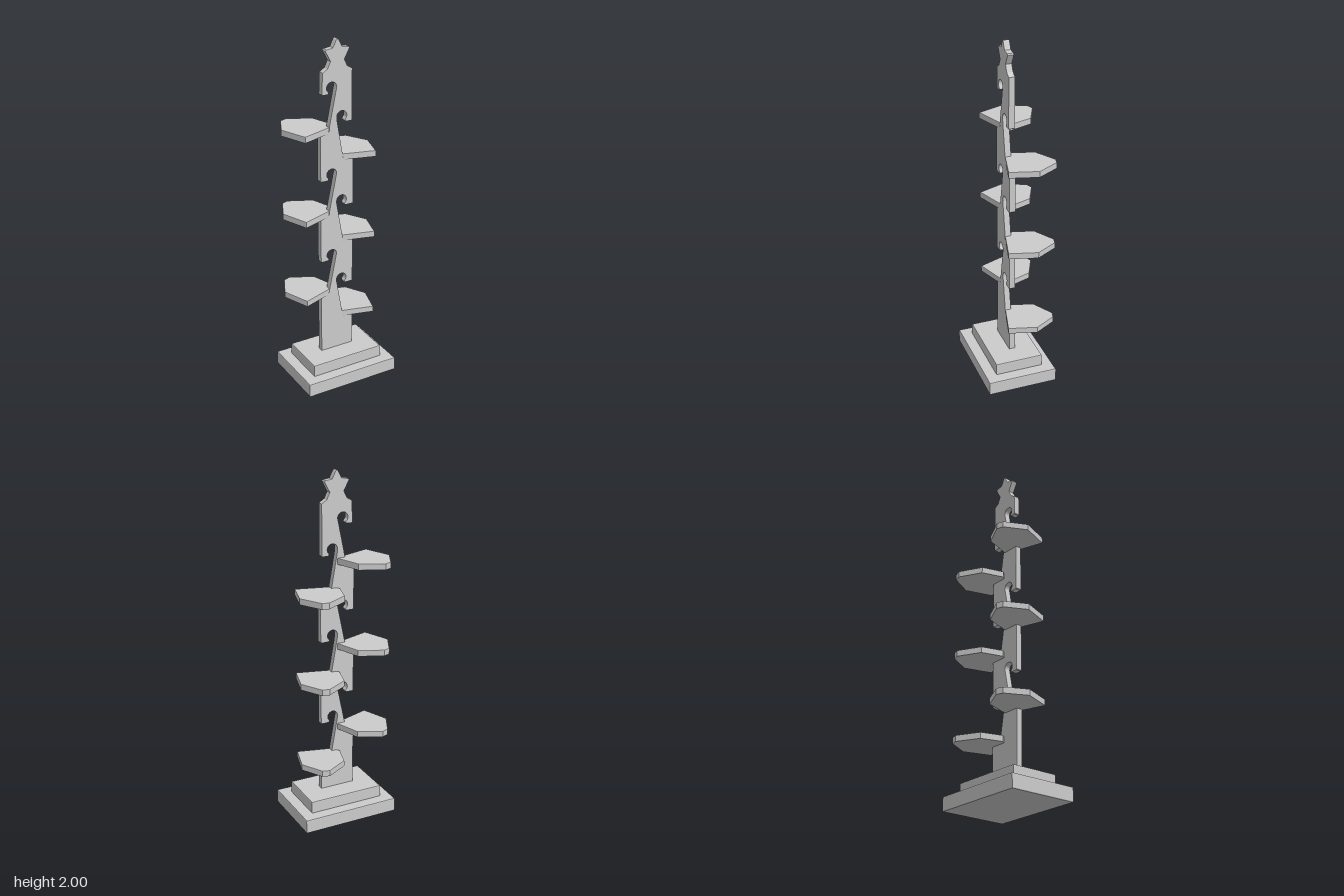
import * as THREE from 'three';

const material = new THREE.MeshStandardMaterial({ color: 0xcccccc });

// Extrude a shape between two depths, with a fine bevel kept inside the outline
function plate(shape, from, to, bevel) {
  const g = new THREE.ExtrudeGeometry(shape, {
    depth: to - from - 2 * bevel, bevelEnabled: true, bevelSize: bevel,
    bevelThickness: bevel, bevelOffset: -bevel, bevelSegments: 2, curveSegments: 14,
  });
  return g.translate(0, 0, from + bevel);
}

// Horizontal slab from [x, z] corners
function slab(name, corners, y0, y1, bevel) {
  const shape = new THREE.Shape(corners.map(([x, z]) => new THREE.Vector2(x, -z)));
  const mesh = new THREE.Mesh(plate(shape, y0, y1, bevel).rotateX(-Math.PI / 2), material);
  mesh.name = name;
  return mesh;
}

const rect = (x, z0, z1) => [[-x, z1], [x, z1], [x, z0], [-x, z0]];

const STEP = 0.489;
const LEFT_SHELF = 0.345;  // underside of lowest +x shelf
const RIGHT_SHELF = 0.51;  // underside of lowest -x shelf
const THICK = 0.036;

// Post outline: up the +x edge, around the star, down the -x edge
function postShape() {
  const s = new THREE.Shape();
  s.moveTo(-0.104, 0.145);
  s.lineTo(0.1, 0.145);
  for (let i = 0; i < 3; i++) {
    const y = LEFT_SHELF + i * STEP;
    const out = i === 2 ? 0.09 : 0.1;
    const hook = y + 0.218;
    s.lineTo(0.1, y + 0.015);
    s.lineTo(0.035, y + 0.015);
    s.lineTo(0.033, y + THICK);
    s.lineTo(-0.003, y + 0.24);
    s.absarc(0.027, y + 0.253, 0.03, Math.PI, -0.5, true);
    s.quadraticCurveTo(0.043, y + 0.228, 0.047, hook + 0.004);
    s.lineTo(0.053, hook);
    s.lineTo(out - 0.004, hook);
    s.lineTo(out, hook + 0.004);
  }
  // Shoulders and star finial
  const head = [[0.09, 1.83], [0.06, 1.848], [0.042, 1.885], [0.073, 1.943],
    [0.067, 1.95], [0.028, 1.955], [0.008, 1.995]];
  head.forEach(([x, y]) => s.lineTo(x, y));
  s.quadraticCurveTo(0, 2.005, -0.008, 1.995);
  head.slice(0, -1).reverse().forEach(([x, y]) => s.lineTo(-x, y));
  for (let i = 2; i >= 0; i--) {
    const y = RIGHT_SHELF + i * STEP;
    const out = i === 2 ? -0.094 : -0.104;
    const hook = y + 0.22;
    s.lineTo(out, hook + 0.004);
    s.lineTo(out + 0.004, hook);
    s.lineTo(-0.06, hook);
    s.lineTo(-0.054, hook + 0.004);
    s.quadraticCurveTo(-0.05, y + 0.23, -0.061, y + 0.241);
    s.absarc(-0.035, y + 0.255, 0.03, Math.PI + 0.5, 0, true);
    s.lineTo(-0.05, y + THICK);
    s.lineTo(-0.05, y + 0.015);
    s.lineTo(-0.104, y + 0.015);
  }
  s.closePath();
  return s;
}

export function createModel() {
  const model = new THREE.Group();

  // Stepped base
  model.add(slab('basePlinth', rect(0.284, -0.192, 0.213), 0, 0.082, 0.006));
  model.add(slab('baseStep', rect(0.22, -0.129, 0.15), 0.078, 0.152, 0.006));

  // Notched upright
  const post = new THREE.Mesh(plate(postShape(), -0.008, 0.028, 0.003), material);
  post.name = 'post';
  model.add(post);

  // Alternating shelves, swept back from the post
  const leftCorners = [[-0.01, -0.024], [0.03, 0.026], [0.214, 0.075], [0.259, -0.084],
    [0.19, -0.207], [0.15, -0.218], [0.025, -0.148]];
  const rightCorners = [[-0.002, -0.005], [-0.054, -0.153], [-0.184, -0.214], [-0.223, -0.2],
    [-0.285, -0.073], [-0.225, 0.084], [-0.05, 0.024]];
  for (let i = 0; i < 3; i++) {
    const l = LEFT_SHELF + i * STEP, r = RIGHT_SHELF + i * STEP;
    model.add(slab('leftShelf' + (i + 1), leftCorners, l, l + THICK, 0.003));
    model.add(slab('rightShelf' + (i + 1), rightCorners, r, r + THICK, 0.003));
  }
  return model;
}
